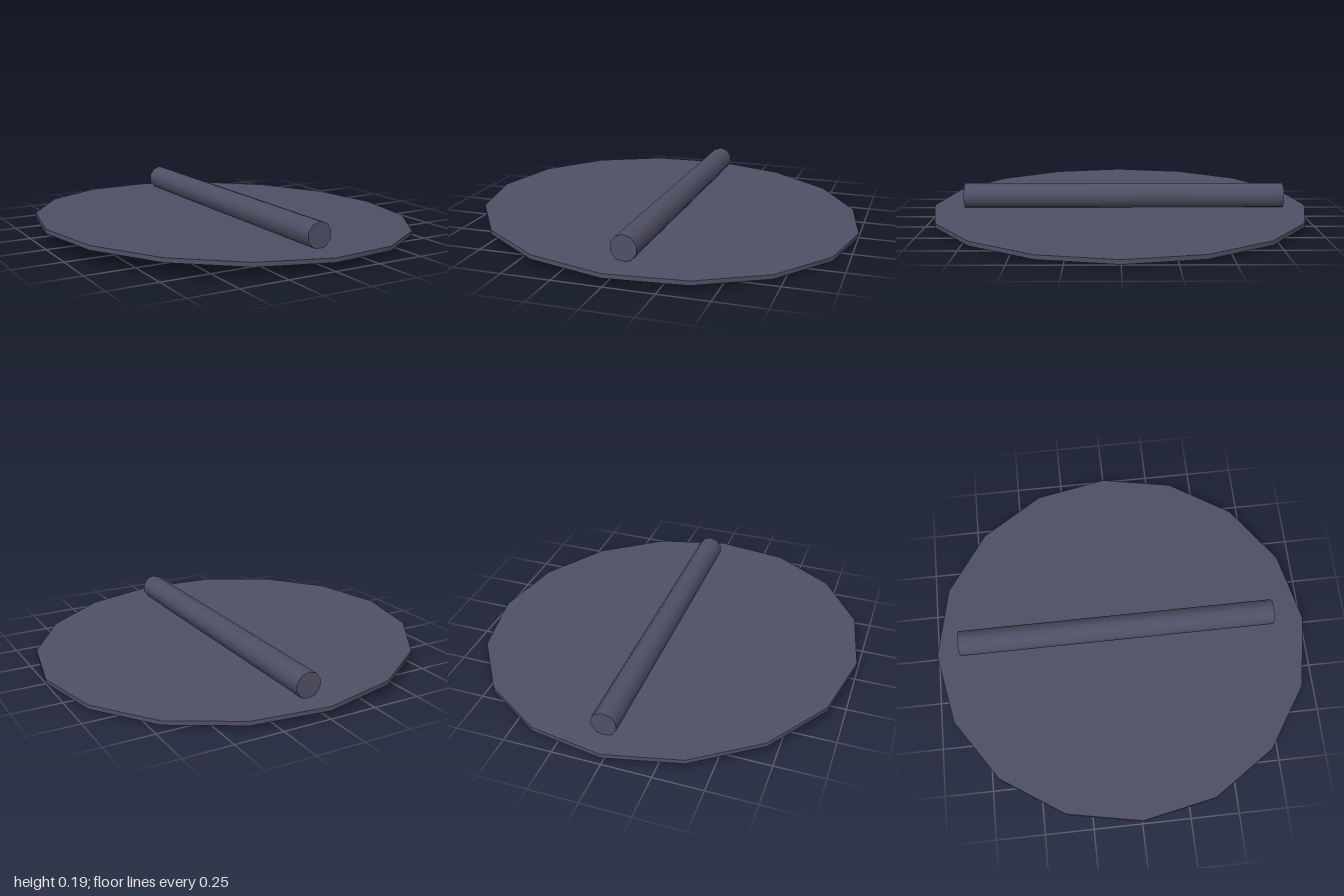
import * as THREE from 'three';

export function createModel() {
  const model = new THREE.Group();
  const steel = new THREE.MeshStandardMaterial({ color: 0x505066, name: 'slateSteel' });
  const symbol = new THREE.MeshStandardMaterial({ color: 0x72728a, name: 'symbolGrey' });
  const red = new THREE.MeshStandardMaterial({ color: 0xa8142e, name: 'signRed' });
  const white = new THREE.MeshStandardMaterial({ color: 0xd0d0dc, name: 'signWhite' });

  const add = (parent, name, geometry, material) => {
    const mesh = new THREE.Mesh(geometry, material);
    mesh.name = name;
    parent.add(mesh);
    return mesh;
  };

  // Slightly tilted plate with its painted face downwards
  const THICK = 0.022;
  const sign = new THREE.Group();
  sign.name = 'signPlate';
  sign.position.y = 0.052;
  sign.rotation.z = -0.04;
  model.add(sign);
  add(sign, 'plate', new THREE.CylinderGeometry(1, 1, THICK, 16), steel);

  // Lay a flat graphic on the underside; layers keep the paint in order.
  // Normals lean outwards so the face is smooth-shaded into the rim.
  const paint = (name, geometry, material, layer) => {
    geometry.rotateX(Math.PI / 2).rotateY(THREE.MathUtils.degToRad(140));
    geometry.translate(0, -THICK / 2 - 0.0015 * layer, 0);
    const { position, normal } = geometry.attributes;
    const n = new THREE.Vector3();
    for (let i = 0; i < position.count; i++) {
      n.set(position.getX(i), -0.45, position.getZ(i)).normalize();
      normal.setXYZ(i, n.x, n.y, n.z);
    }
    add(sign, name, geometry, material);
  };
  const outline = (points) =>
    new THREE.ShapeGeometry(new THREE.Shape(points.map(([x, y]) => new THREE.Vector2(x, y))));

  paint('redRing', new THREE.CircleGeometry(1, 16, THREE.MathUtils.degToRad(5)), red, 1);
  paint('whiteField', new THREE.CircleGeometry(0.78, 64), white, 2);

  // Diagonal prohibition bar
  const bar = new THREE.PlaneGeometry(0.136, 1.58, 1, 8);
  bar.rotateZ(-0.085).translate(0.043, 0, 0);
  paint('slashBar', bar, red, 3);

  // Large winding arrow
  paint('arrow', outline([
    [-0.235, -0.647], [0.203, -0.481], [0.075, -0.429], [0.128, -0.354], [0.203, -0.302],
    [0.326, -0.264], [0.428, -0.169], [0.5, -0.01], [0.535, 0.15], [0.636, 0.222],
    [0.599, 0.336], [0.508, 0.319], [0.438, 0.233], [0.417, 0.122], [0.342, -0.03],
    [0.246, -0.092], [0.155, -0.098], [0.048, -0.204], [-0.032, -0.322], [-0.107, -0.184],
  ]), symbol, 4);

  // Small ragged symbol
  paint('smallSymbol', outline([
    [-0.235, 0.326], [-0.203, 0.268], [-0.118, 0.196], [0, 0.101], [0.064, 0.041],
    [0.128, 0.071], [0.15, 0.126], [0.198, 0.134], [0.203, 0.224], [0.16, 0.215],
    [0.102, 0.173], [0.075, 0.242], [0.043, 0.166], [-0.011, 0.157], [-0.075, 0.217],
    [-0.155, 0.277], [-0.086, 0.262], [-0.043, 0.304], [-0.091, 0.341], [-0.032, 0.371],
    [-0.064, 0.395], [-0.086, 0.475], [-0.096, 0.419], [-0.171, 0.434], [-0.139, 0.377],
    [-0.16, 0.322],
  ]), symbol, 4);

  // Mounting pole lying across the back of the plate
  const pole = add(model, 'pole', new THREE.CylinderGeometry(0.067, 0.067, 1.695, 10), steel);
  pole.rotation.x = Math.PI / 2;
  pole.position.set(0.036, 0.123, -0.022);

  return model;
}
